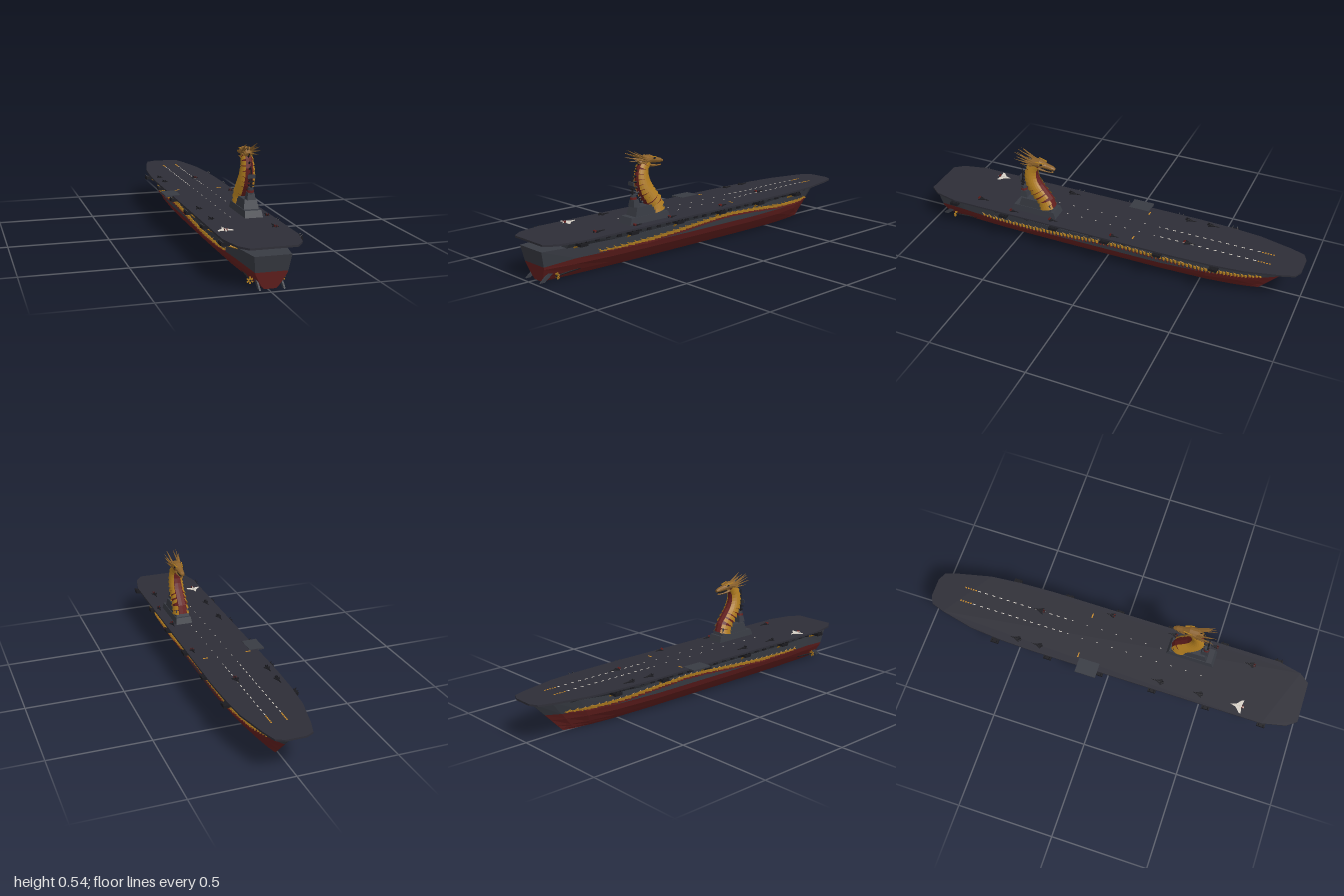
import * as THREE from 'three';

const mat = (name, color) => new THREE.MeshStandardMaterial({ name, color, flatShading: true, side: THREE.DoubleSide });
const M = {
  deck: mat('deckSlate', 0x2e2e37), hull: mat('hullGrey', 0x383b43), red: mat('deepRed', 0x66201f),
  gold: mat('gold', 0xad7a1e), bronze: mat('bronze', 0x8a6029), black: mat('black', 0x1b1b20),
  white: mat('white', 0xd8d2c8), orange: mat('orange', 0xc98a2a),
};
const V = (x, y, z) => new THREE.Vector3(x, y, z);
const UP = V(0, 1, 0);

// Linear lookup in a list of [key, value] pairs with rising keys
function interp(list, k) {
  if (k <= list[0][0]) return list[0][1];
  for (let i = 1; i < list.length; i++) {
    const [a, p] = list[i - 1], [b, q] = list[i];
    if (k <= b) return p + (q - p) * (k - a) / (b - a);
  }
  return list[list.length - 1][1];
}

// Skin over a row of cross-sections, with both ends capped
function loft(rings) {
  const n = rings[0].length, idx = [];
  for (let i = 0; i < rings.length - 1; i++) for (let j = 0; j < n - 1; j++) {
    const a = i * n + j, d = a + n;
    idx.push(a, a + 1, d + 1, a, d + 1, d);
  }
  const e = (rings.length - 1) * n;
  for (let j = 1; j < n - 1; j++) idx.push(0, j + 1, j, e, e + j, e + j + 1);
  const g = new THREE.BufferGeometry().setFromPoints(rings.flat());
  g.setIndex(idx);
  g.computeVertexNormals();
  return g;
}

// Round body along a path in the y-z plane: [y, z, half width, half depth]
function body(path, x, sides = 12) {
  return loft(path.map(([y, z, rx, rn], i) => {
    const p = path[Math.max(i - 1, 0)], q = path[Math.min(i + 1, path.length - 1)];
    const v = V(0, q[0] - p[0], q[1] - p[1]).normalize();
    return Array.from({ length: sides + 1 }, (_, j) => {
      const t = j / sides * Math.PI * 2, s = Math.sin(t) * rn;
      return V(x + Math.cos(t) * rx, y + s * v.z, z - s * v.y);
    });
  }));
}

// Hull form: beam along the length, fullness by height, raked ends
const BEAM = [[-0.96, 0.03], [-0.88, 0.32], [-0.75, 0.62], [-0.55, 0.88], [-0.3, 1], [0.25, 1], [0.6, 0.95], [0.82, 0.8], [0.99, 0.61]];
const FULL = [[0, 0.32], [0.012, 0.45], [0.03, 0.59], [0.067, 0.83], [0.1, 0.95], [0.16, 1]];
const sheer = s => interp([[-0.96, 0.175], [-0.7, 0.163], [-0.3, 0.157], [0.99, 0.155]], s);
const water = s => interp([[0.8, 0.1], [0.99, 0.08]], s);
function hullAt(s, y, side) {
  const rake = s < -0.5 ? 0.17 * (-0.5 - s) / 0.46 : s > 0.8 ? -0.035 * (s - 0.8) / 0.19 : 0;
  return V(side * 0.138 * interp(BEAM, s) * interp(FULL, y), y, s + rake * (1 - y / sheer(s)));
}

export function createModel() {
  const root = new THREE.Group();
  root.name = 'carrierShip';
  root.position.x = 0.011;
  const add = (name, geo, m, parent = root) => {
    const o = new THREE.Mesh(geo, m);
    o.name = name;
    parent.add(o);
    return o;
  };
  const box = (name, m, w, h, d, x, y, z, parent) => {
    const o = add(name, new THREE.BoxGeometry(w, h, d), m, parent);
    o.position.set(x, y, z);
    return o;
  };
  const rod = (name, m, a, b, r0, r1, sides = 5) => {
    const o = add(name, new THREE.CylinderGeometry(r1, r0, a.distanceTo(b), sides), m);
    o.position.copy(a).lerp(b, 0.5);
    o.quaternion.setFromUnitVectors(UP, b.clone().sub(a).normalize());
    return o;
  };

  // Hull
  const stations = BEAM.map(b => b[0]).reverse();
  add('lowerHull', loft(stations.map(s => {
    const ys = [water(s), 0.067, 0.03, 0.012, 0];
    return [...ys.map(y => hullAt(s, y, 1)), ...ys.reverse().map(y => hullAt(s, y, -1))];
  })), M.red);
  add('upperHull', loft(stations.map(s => [
    hullAt(s, water(s), -1), hullAt(s, sheer(s), -1), hullAt(s, sheer(s), 1), hullAt(s, water(s), 1),
  ])), M.hull);

  // Gallery between hull and flight deck: [z, bottom half width, top half width]
  add('gallery', loft([[0.87, 0.105, 0.135], [0.6, 0.13, 0.15], [-0.4, 0.13, 0.15], [-0.6, 0.11, 0.14], [-0.79, 0.07, 0.1]].map(
    ([z, b, t]) => [V(-b, 0.154, z), V(-t, 0.189, z), V(t, 0.189, z), V(b, 0.154, z)])), M.hull);

  // Flight deck
  const half = [[0.05, -1], [0.09, -0.98], [0.113, -0.91], [0.152, -0.74], [0.166, -0.58], [0.172, -0.4], [0.172, 0.83], [0.145, 0.95], [0.107, 1]];
  const outline = [...half, ...half.map(([x, z]) => [-x, z]).reverse()];
  const deckShape = new THREE.Shape(outline.map(([x, z]) => new THREE.Vector2(x, -z)));
  const deck = add('flightDeck', new THREE.ExtrudeGeometry(deckShape, { depth: 0.009, bevelEnabled: false }), M.deck);
  deck.rotation.x = -Math.PI / 2;
  deck.position.y = 0.187;
  box('sideLift', M.hull, 0.078, 0.008, 0.11, -0.17, 0.1935, -0.095);

  // Deck markings
  for (const x of [-0.026, 0.05]) {
    for (let z = -0.77; z < -0.28; z += 0.04) box('whiteDash', M.white, 0.004, 0.002, 0.016, x, 0.1965, z);
    for (let z = -0.25; z < 0.5; z += 0.08) box('smallDash', M.white, 0.003, 0.002, 0.008, x, 0.1965, z);
    for (let z = -0.845; z < -0.78; z += 0.014) box('orangeDash', M.orange, 0.007, 0.002, 0.008, x, 0.1965, z);
  }
  for (const x of [-0.118, 0.109]) box('liftLine', M.orange, 0.026, 0.002, 0.006, x, 0.1965, -0.16);

  for (const side of [-1, 1]) {
    // Gun platforms with gold braces
    for (const z of [-0.6, -0.31, -0.03, 0.255, 0.54, 0.83]) {
      box('gunPlatform', M.black, 0.04, 0.014, 0.042, side * 0.166, 0.178, z);
      for (const dz of [-0.012, 0.012]) {
        rod('brace', M.gold, hullAt(z, 0.15, side * 0.98), V(side * 0.165, 0.174, z + dz), 0.004, 0.003);
        rod('gunBarrel', M.black, V(side * 0.175, 0.184, z + dz), V(side * 0.188, 0.193, z + dz), 0.003, 0.002);
      }
    }
    // Gallery bays and posts
    for (let i = 0; i < 24; i++) {
      const z = -0.6 + i * 0.06;
      box('bay', M.black, 0.012, 0.014 + (i % 3) * 0.004, 0.022, side * (z < -0.4 || z > 0.65 ? 0.134 : 0.142), 0.176, z);
    }
    // Serpent body winding along the hull
    const wave = [[-0.86, 0.108], [-0.7, 0.112], [-0.5, 0.122], [-0.3, 0.139], [-0.13, 0.146], [0, 0.141], [0.2, 0.126], [0.4, 0.113], [0.72, 0.108]];
    for (let i = 0; i < 78; i++) {
      const s = -0.85 + i * 0.02, y = interp(wave, s);
      const scale = (name, m, h, len, dy, thick) => {
        const a = hullAt(s - len / 2, interp(wave, s - len / 2) + dy, side), b = hullAt(s + len / 2, interp(wave, s + len / 2) + dy, side);
        const o = add(name, new THREE.BoxGeometry(thick, h, a.distanceTo(b)), m);
        o.position.copy(a).lerp(b, 0.5);
        o.lookAt(b);
      };
      const t = Math.min(1, (77 - i) / 20 + 0.35, i / 12 + 0.4);
      scale('serpentScale', M.gold, 0.013 * t, 0.022, (i % 2) * 0.002, 0.009);
      scale('serpentBelly', M.red, 0.009 * t, 0.022, -0.0105 * t, 0.007);
      if (i % 2) rod('serpentFin', M.gold, hullAt(s, y + 0.005, side), hullAt(s + 0.012, y + 0.013, side), 0.004, 0.001, 4);
    }
    // Rudder and propeller
    const fin = add('rudder', new THREE.ExtrudeGeometry(new THREE.Shape(
      [[-0.93, 0.05], [-0.985, 0.004], [-0.96, 0.004], [-0.91, 0.04]].map(p => new THREE.Vector2(...p))),
    { depth: 0.008, bevelEnabled: false }), M.hull);
    fin.rotation.y = Math.PI / 2;
    fin.position.x = side * 0.055 - 0.004;
    for (let k = 0; k < 3; k++) {
      const o = box('propellerBlade', M.gold, 0.007, 0.032, 0.004, side * 0.072, 0.026, 0.9);
      o.rotation.z = k * Math.PI / 3;
    }
    rod('propellerShaft', M.black, V(side * 0.072, 0.026, 0.91), V(side * 0.066, 0.035, 0.75), 0.004, 0.004);
  }

  // Island: stepped, tapering tiers [y0, y1, z0, z1, half width, taper]
  const IX = 0.077;
  for (const [y0, y1, z0, z1, w, t] of [[0.195, 0.228, 0.265, 0.515, 0.044, 0.9], [0.228, 0.272, 0.29, 0.475, 0.036, 0.85], [0.272, 0.305, 0.435, 0.475, 0.021, 0.75]]) {
    const zc = (z0 + z1) / 2, ring = (y, k) => [[w, z0], [-w, z0], [-w, z1], [w, z1], [w, z0]].map(([x, z]) => V(IX + x * k, y, zc + (z - zc) * k));
    add('islandTier', loft([ring(y0, 1), ring(y1, t)]), M.hull);
  }
  rod('funnel', M.hull, V(IX, 0.3, 0.458), V(IX, 0.33, 0.46), 0.016, 0.013, 10);
  rod('funnelBand', M.red, V(IX, 0.307, 0.459), V(IX, 0.318, 0.46), 0.0165, 0.0155, 10);
  rod('mast', M.black, V(IX, 0.32, 0.465), V(IX, 0.45, 0.465), 0.005, 0.002);
  box('radarPanel', M.hull, 0.036, 0.018, 0.006, IX, 0.383, 0.473);
  for (const y of [0.34, 0.358]) box('yard', M.black, 0.024, 0.005, 0.012, IX, y, 0.466);

  // Dragon neck: [y, z, half width, half depth]
  const neck = [[0.235, 0.325, 0.038, 0.046], [0.27, 0.335, 0.038, 0.045], [0.31, 0.365, 0.037, 0.042], [0.345, 0.39, 0.036, 0.039],
    [0.38, 0.405, 0.034, 0.036], [0.415, 0.41, 0.031, 0.032], [0.45, 0.403, 0.027, 0.028], [0.48, 0.38, 0.023, 0.023]];
  add('dragonNeck', body(neck, IX), M.red);
  const curve = new THREE.CatmullRomCurve3(neck.map(p => V(IX, p[0], p[1])));
  const ROWS = 12;
  for (let i = 0; i < ROWS; i++) {
    const u = (i + 0.5) / ROWS, p = curve.getPoint(u), tan = curve.getTangent(u);
    const f = u * 7, k = Math.floor(f), r = THREE.MathUtils.lerp(neck[k][2], neck[k + 1][2], f - k);
    for (const side of [-1, 1]) {
      const o = add('neckScale', new THREE.CylinderGeometry(r * 1.0, r * 1.18, 0.021, 8, 1, true, side * Math.PI / 2 - 1, 2), M.gold);
      o.position.copy(p);
      o.scale.z = 1.12;
      o.quaternion.setFromUnitVectors(UP, tan);
    }
    const back = V(0, -tan.z, tan.y);
    const root0 = p.clone().addScaledVector(back, r);
    rod('neckSpike', M.black, root0, root0.clone().addScaledVector(back, 0.022).add(V(0, 0.008, 0)), 0.006, 0.0005, 4);
  }

  // Dragon head facing the bow
  add('dragonSkull', body([[0.472, 0.42, 0.016, 0.016], [0.485, 0.395, 0.028, 0.025], [0.488, 0.36, 0.026, 0.021], [0.479, 0.325, 0.017, 0.014],
    [0.474, 0.295, 0.014, 0.011], [0.469, 0.278, 0.008, 0.006]], IX), M.bronze);
  add('dragonJaw', body([[0.466, 0.39, 0.018, 0.01], [0.456, 0.35, 0.016, 0.008], [0.451, 0.31, 0.01, 0.005], [0.451, 0.288, 0.005, 0.003]], IX, 8), M.bronze);
  box('mouth', M.black, 0.018, 0.008, 0.06, IX, 0.46, 0.325);
  for (const side of [-1, 1]) {
    for (const [x, y, z] of [[0.026, 0.54, 0.475], [0.038, 0.522, 0.475], [0.038, 0.505, 0.485], [0.017, 0.53, 0.495], [0.036, 0.482, 0.46]])
      rod('horn', M.bronze, V(IX + side * (0.008 + x * 0.35), 0.475 + (y - 0.475) * 0.3, 0.39), V(IX + side * x, y, z), 0.006, 0.0005);
    rod('brow', M.gold, V(IX + side * 0.014, 0.496, 0.33), V(IX + side * 0.024, 0.503, 0.375), 0.004, 0.003);
    rod('whisker', M.gold, V(IX + side * 0.012, 0.458, 0.37), V(IX + side * 0.026, 0.447, 0.405), 0.005, 0.0005, 4);
    box('eye', M.black, 0.004, 0.007, 0.012, IX + side * 0.022, 0.492, 0.345);
  }

  // Parked aircraft
  const wing = new THREE.ExtrudeGeometry(new THREE.Shape([[0, 0.5], [0.12, 0.1], [0.5, -0.25], [0.5, -0.38], [0, -0.3],
    [-0.5, -0.38], [-0.5, -0.25], [-0.12, 0.1]].map(p => new THREE.Vector2(...p))), { depth: 0.05, bevelEnabled: false });
  for (const [x, z, len, span, m, tail] of [[-0.123, 0.69, 0.07, 0.07, M.white, M.red], [-0.135, -0.5, 0.065, 0.03, M.black, M.black],
    [-0.135, -0.38, 0.06, 0.03, M.black, M.black], [0.05, -0.435, 0.065, 0.035, M.black, M.red], [-0.125, 0.27, 0.065, 0.03, M.black, M.black],
    [-0.125, 0.48, 0.06, 0.03, M.black, M.black], [0.11, 0.69, 0.065, 0.03, M.black, M.red], [0.143, -0.07, 0.05, 0.025, M.black, M.red],
    [0.14, 0.27, 0.05, 0.025, M.black, M.red], [0.145, 0.49, 0.05, 0.02, M.black, M.red]]) {
    const plane = new THREE.Group();
    plane.name = 'parkedAircraft';
    plane.position.set(x, 0.2, z);
    root.add(plane);
    const w = add('wings', wing, m, plane);
    w.rotation.x = -Math.PI / 2;
    w.scale.set(span, len, 0.05);
    const f = add('fuselage', new THREE.CylinderGeometry(0.001, 0.004, len, 6), m, plane);
    f.rotation.x = -Math.PI / 2;
    f.position.y = 0.003;
    for (const sx of [-1, 1]) box('tailFin', tail, 0.0015, 0.009, 0.01, sx * 0.005, 0.006, len * 0.38, plane);
  }
  return root;
}
